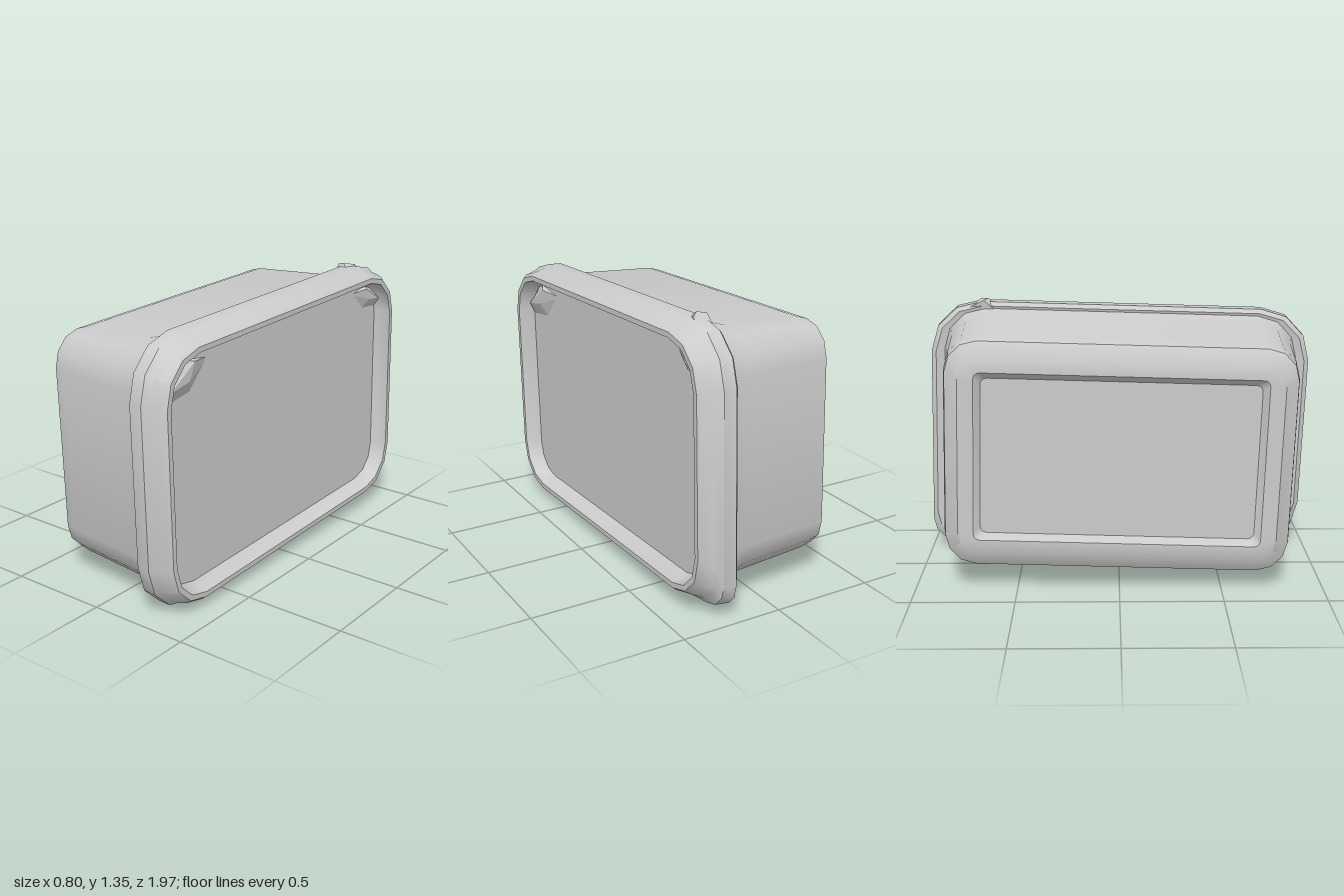
import * as THREE from 'three';
import { toCreasedNormals } from 'three/addons/utils/BufferGeometryUtils.js';
import { ConvexGeometry } from 'three/addons/geometries/ConvexGeometry.js';

const grey = new THREE.MeshStandardMaterial({ color: 0xcccccc });
const ARC = 3; // segments per rounded corner

// Rounded rectangle across z and y, counter-clockwise seen from +x.
// backLow is the radius of the squarer lower back corner.
function section([x, hz, hy, r, backLow = r]) {
  const pts = [];
  const corners = [[1, 1, r], [-1, 1, r], [-1, -1, r], [1, -1, backLow]];
  corners.forEach(([su, sy, cr], k) => {
    for (let i = 0; i <= ARC; i++) {
      const a = (k + i / ARC) * Math.PI / 2;
      const u = su * (hz - cr) + cr * Math.cos(a);
      const y = sy * (hy - cr) + cr * Math.sin(a);
      pts.push(new THREE.Vector3(x, y, -u));
    }
  });
  return pts;
}

// Skin through the sections, capped at both ends
function loft(rows) {
  const rings = rows.map(section);
  const n = rings[0].length;
  const pos = [];
  const tri = (...vs) => vs.forEach(v => pos.push(v.x, v.y, v.z));
  const first = new THREE.Vector3(rows[0][0], 0, 0);
  const last = new THREE.Vector3(rows[rows.length - 1][0], 0, 0);
  for (let j = 0; j < n; j++) {
    const k = (j + 1) % n;
    for (let i = 0; i < rings.length - 1; i++) {
      const A = rings[i], B = rings[i + 1];
      tri(A[j], A[k], B[k]);
      tri(A[j], B[k], B[j]);
    }
    tri(first, rings[0][k], rings[0][j]);
    tri(last, rings[rings.length - 1][j], rings[rings.length - 1][k]);
  }
  const g = new THREE.BufferGeometry();
  g.setAttribute('position', new THREE.Float32BufferAttribute(pos, 3));
  return toCreasedNormals(g, 0.6);
}

// Small faceted lump from a few points
function lump(points) {
  return new ConvexGeometry(points.map(p => new THREE.Vector3(...p)));
}

export function createModel() {
  const group = new THREE.Group();
  const tray = new THREE.Group();
  tray.name = 'container';
  tray.position.y = 0.685;
  tray.rotation.x = 0.03; // rests slightly tilted
  group.add(tray);

  const add = (name, geometry) => {
    const mesh = new THREE.Mesh(geometry, grey);
    mesh.name = name;
    tray.add(mesh);
  };

  // Tub with recessed base panel, bevelled base edge and flared mouth
  add('tub', loft([
    [-0.37, 0.66, 0.38, 0.03],
    [-0.40, 0.69, 0.41, 0.03],
    [-0.40, 0.765, 0.475, 0.10],
    [-0.35, 0.83, 0.55, 0.15],
    [-0.29, 0.842, 0.568, 0.17],
    [0.10, 0.877, 0.585, 0.19],
    [0.17, 0.89, 0.605, 0.20],
    [0.25, 0.91, 0.62, 0.22],
  ]));

  // Lid: rolled lip, stepped shoulder, rim and sunken panel
  add('lid', loft([
    [0.22, 0.88, 0.58, 0.20],
    [0.205, 0.945, 0.625, 0.24, 0.14],
    [0.225, 0.97, 0.645, 0.26, 0.12],
    [0.29, 0.972, 0.647, 0.26, 0.15],
    [0.32, 0.952, 0.632, 0.25, 0.20],
    [0.375, 0.94, 0.612, 0.23],
    [0.395, 0.925, 0.597, 0.22],
    [0.395, 0.90, 0.572, 0.20],
    [0.35, 0.885, 0.56, 0.18],
    [0.32, 0.865, 0.54, 0.16],
  ]));

  // Crumpled folds in the upper corners of the lid panel
  for (const [name, s, k] of [['frontFold', 1, 1], ['backFold', -1, 0.75]]) {
    const p = (x, y, z) => [x, 0.56 - y * k, s * (0.88 - z * k)];
    const fold = [
      p(0.31, 0.22, 0.02), p(0.31, 0.20, 0.20), p(0.31, 0.06, 0.34),
      p(0.31, 0.02, 0.12), p(0.35, 0.14, 0.03), p(0.35, 0.04, 0.20),
      p(0.35, 0.12, 0.16),
    ];
    add(name, lump(fold));
  }

  // Raised pull tab on the top back of the lip
  add('lipTab', lump([
    [0.20, 0.60, -0.64], [0.20, 0.655, -0.70], [0.22, 0.60, -0.80],
    [0.24, 0.662, -0.68], [0.28, 0.655, -0.72], [0.30, 0.60, -0.64],
    [0.30, 0.60, -0.78],
  ]));

  return group;
}
